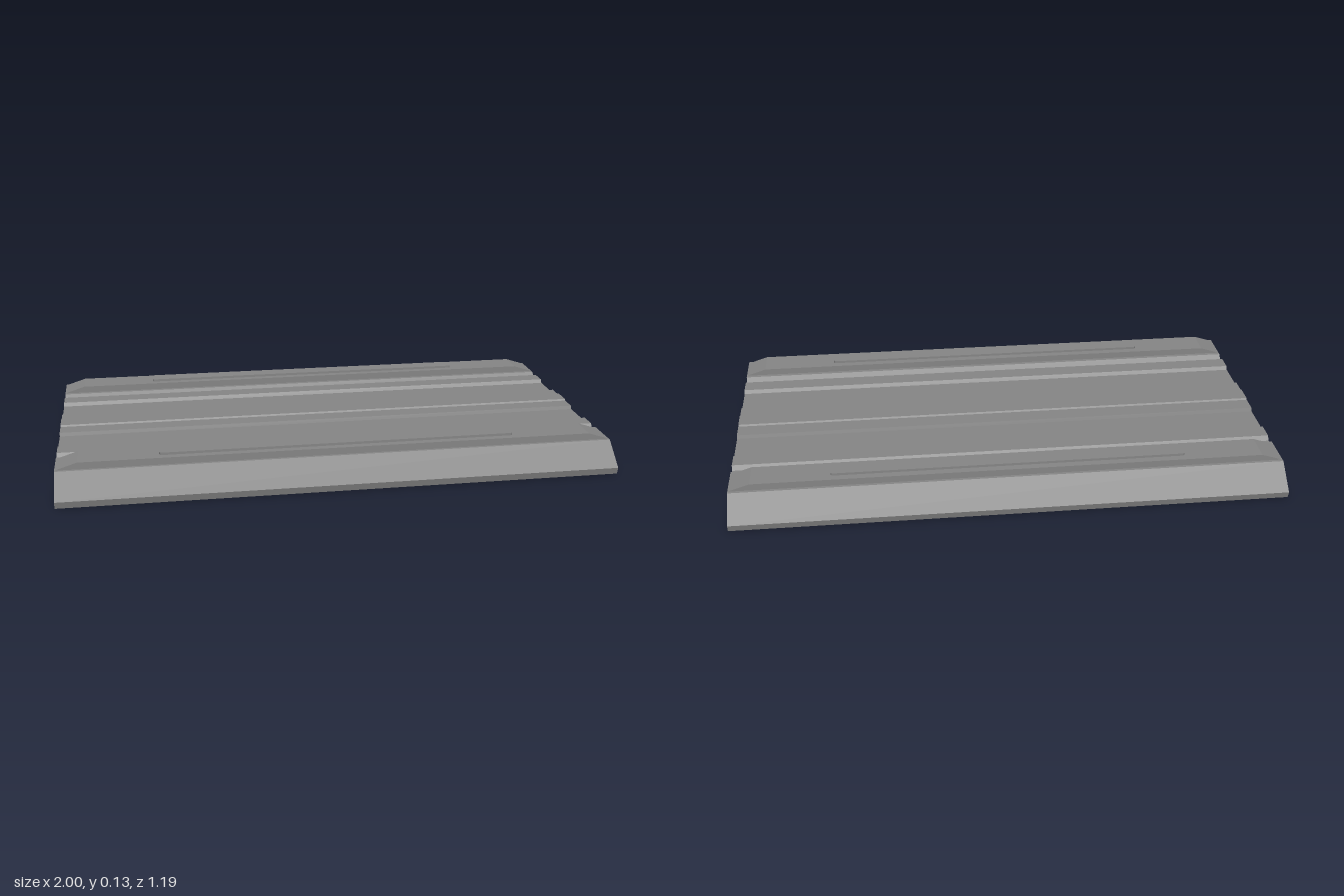
import * as THREE from 'three';

const material = new THREE.MeshStandardMaterial({ color: 0x868686, flatShading: true });

function extrude(name, shape, depth) {
  const geometry = new THREE.ExtrudeGeometry(shape, { depth, bevelEnabled: false, curveSegments: 4 });
  geometry.translate(0, 0, -depth / 2);
  const mesh = new THREE.Mesh(geometry, material);
  mesh.name = name;
  return mesh;
}

const shapeOf = (points) => new THREE.Shape(points.map(([x, y]) => new THREE.Vector2(x, y)));

// Half of the ribbed cross-section, from the bottom edge to the centre: [z, y]
const halfProfile = [
  [0.586, 0], [0.593, 0.025], [0.5, 0.1], [0.362, 0.1],
  [0.344, 0.084], [0.329, 0.084], [0.317, 0.1], [0.252, 0.1],
  [0.243, 0.087], [0.109, 0.087], [0.105, 0.1], [0.04, 0.1], [0.036, 0.106],
];

function roundedRect(w, h, r) {
  const x = w / 2, y = h / 2;
  const s = new THREE.Shape();
  s.absarc(x - r, y - r, r, 0, Math.PI / 2);
  s.absarc(-x + r, y - r, r, Math.PI / 2, Math.PI);
  s.absarc(-x + r, -y + r, r, Math.PI, Math.PI * 1.5);
  s.absarc(x - r, -y + r, r, Math.PI * 1.5, Math.PI * 2);
  s.closePath();
  return s;
}

export function createModel() {
  const model = new THREE.Group();
  model.name = 'ribbedPlate';

  // Ribbed body, mirrored about the centre and run along x
  const mirrored = halfProfile.map(([z, y]) => [-z, y]).reverse();
  const body = extrude('ribbedBody', shapeOf([...halfProfile, ...mirrored]), 2);
  body.geometry.rotateY(-Math.PI / 2);
  model.add(body);

  for (const side of [1, -1]) {
    const rail = new THREE.Group();
    rail.name = side > 0 ? 'frontRail' : 'backRail';
    rail.position.z = side * 0.433;

    // Raised pad with sloping ends
    rail.add(extrude('railPad', shapeOf([
      [-0.997, 0.098], [0.997, 0.098], [0.997, 0.101],
      [0.922, 0.125], [-0.922, 0.125], [-0.997, 0.101],
    ]), 0.112));

    // Thin strip with rounded corners on top of the pad
    const strip = extrude('railStrip', roundedRect(1.28, 0.06, 0.01), 0.012);
    strip.geometry.rotateX(-Math.PI / 2);
    strip.position.y = 0.128;
    rail.add(strip);

    model.add(rail);
  }
  return model;
}
